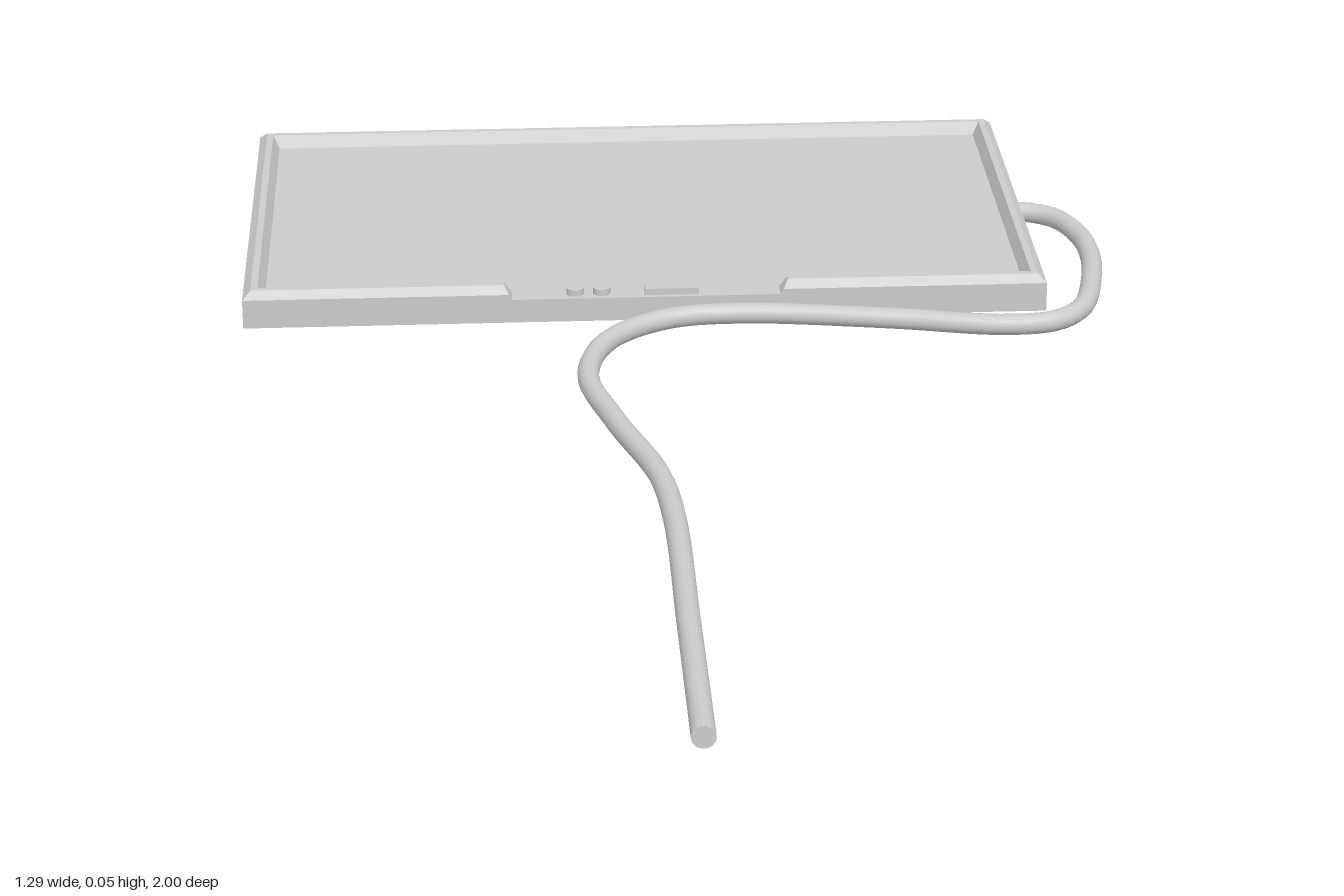
import * as THREE from 'three';

const X0 = -0.645, X1 = 0.54, Z0 = -1, Z1 = -0.315; // panel outline
const FLOOR = 0.036, TOP = 0.055;

export function createModel() {
  const group = new THREE.Group();
  const flat = new THREE.MeshStandardMaterial({ color: 0xcccccc, flatShading: true });
  const smooth = new THREE.MeshStandardMaterial({ color: 0xcccccc });

  function add(name, geometry, x, y, z, material = flat) {
    const mesh = new THREE.Mesh(geometry, material);
    mesh.name = name;
    mesh.position.set(x, y, z);
    group.add(mesh);
    return mesh;
  }

  // Flat slab under the rim
  add('panel', new THREE.BoxGeometry(X1 - X0, FLOOR, Z1 - Z0), (X0 + X1) / 2, FLOOR / 2, (Z0 + Z1) / 2);

  add('rim', rimGeometry(), 0, 0, 0);

  // Controls in the gap of the front rim
  for (const x of [-0.157, -0.118]) {
    add('button', new THREE.CylinderGeometry(0.013, 0.013, 0.01, 20), x, FLOOR + 0.005, -0.335);
  }
  add('switch', new THREE.BoxGeometry(0.08, 0.01, 0.026), -0.015, FLOOR + 0.005, -0.335);

  // Cable winding from the side of the panel to the front
  const route = [
    [0.52, -0.66], [0.555, -0.657], [0.595, -0.63], [0.622, -0.56], [0.628, -0.48], [0.616, -0.38],
    [0.585, -0.27], [0.54, -0.225], [0.465, -0.215], [0.295, -0.25], [0.08, -0.28],
    [-0.025, -0.265], [-0.11, -0.195], [-0.147, -0.07], [-0.115, 0.09], [-0.064, 0.265],
    [-0.05, 0.4], [-0.048, 0.7], [-0.047, 1],
  ].map(([x, z]) => new THREE.Vector3(x, 0.022, z));
  const radius = 0.0155;
  add('cable', new THREE.TubeGeometry(new THREE.CatmullRomCurve3(route), 120, radius, 14), 0, 0, 0, smooth);
  add('cableEnd', new THREE.CircleGeometry(radius, 14), -0.047, 0.022, 1);

  return group;
}

// Bevelled rim: one profile mitred round the panel, open at the front gap
function rimGeometry() {
  // [inset, height]
  const profile = [[0, FLOOR], [0, 0.044], [0.012, TOP], [0.022, TOP], [0.032, FLOOR]];
  // [x, z, inward x, inward z, slope of the cut end]
  const stations = [
    [-0.25, Z1, 0, -1, -0.6],
    [X0, Z1, 1, -1, 0],
    [X0, Z0, 1, 1, 0],
    [X1, Z0, -1, 1, 0],
    [X1, Z1, -1, -1, 0],
    [0.145, Z1, 0, -1, 0.6],
  ];
  const n = profile.length, positions = [], index = [];
  for (const [x, z, ix, iz, slope] of stations) {
    for (const [d, y] of profile) positions.push(x + ix * d + slope * (y - FLOOR), y, z + iz * d);
  }
  for (let s = 0; s < stations.length - 1; s++) {
    for (let i = 0; i < n - 1; i++) {
      const a = s * n + i, b = a + n;
      index.push(a, a + 1, b, b, a + 1, b + 1);
    }
  }
  // End caps
  const last = (stations.length - 1) * n;
  for (let i = 1; i < n - 1; i++) {
    index.push(0, i + 1, i, last, last + i, last + i + 1);
  }
  const geometry = new THREE.BufferGeometry();
  geometry.setAttribute('position', new THREE.Float32BufferAttribute(positions, 3));
  geometry.setIndex(index);
  const result = geometry.toNonIndexed();
  result.computeVertexNormals();
  return result;
}
